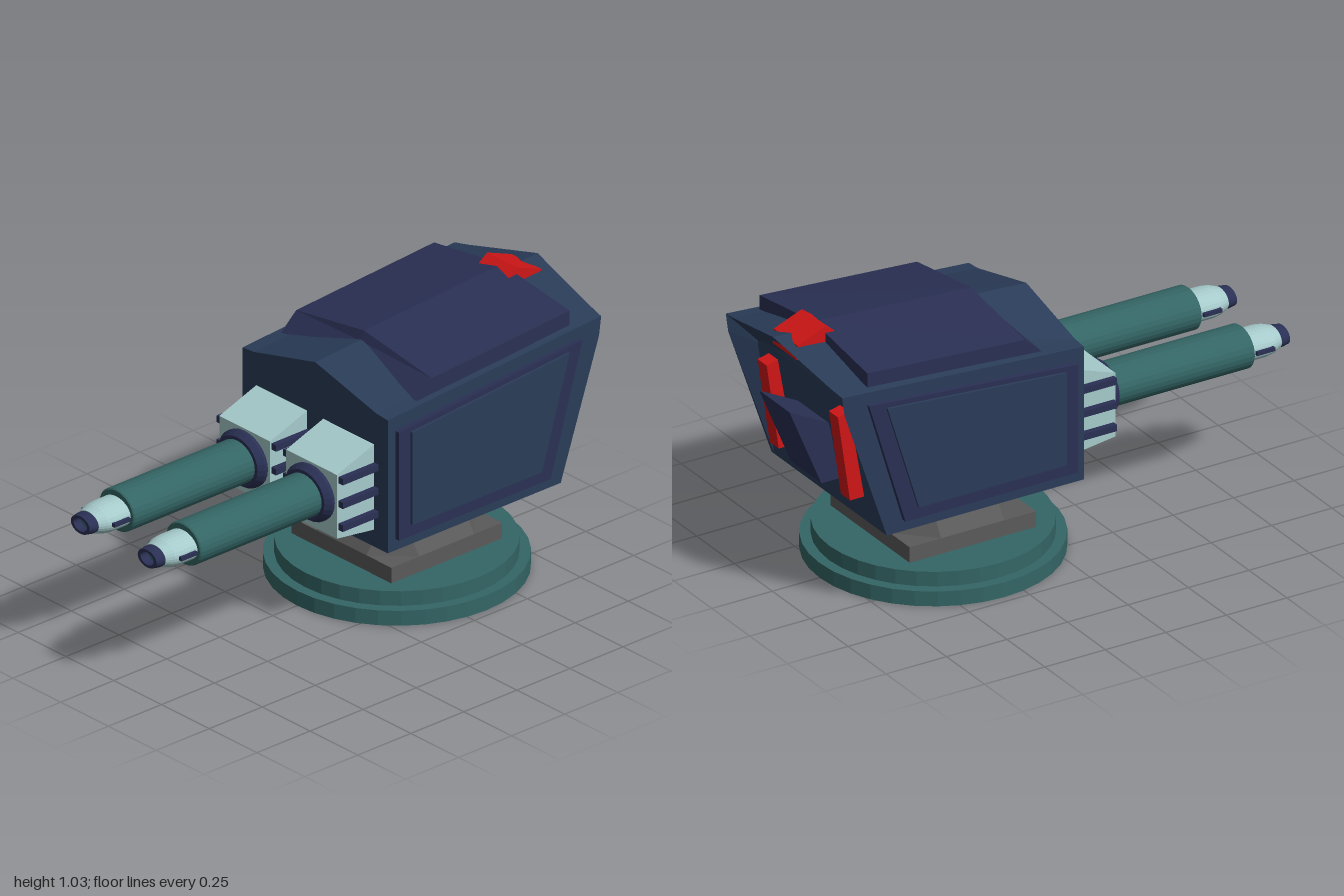
import * as THREE from 'three';

const mat = (color) => new THREE.MeshStandardMaterial({ color, flatShading: true });
const navy = mat(0x2a3c58), dark = mat(0x2a3054), teal = mat(0x346565);
const pale = mat(0xa6cacb), grey = mat(0x5a5a5a), red = mat(0xd01616);

function add(parent, name, geometry, material, x = 0, y = 0, z = 0) {
  const mesh = new THREE.Mesh(geometry, material);
  mesh.name = name;
  mesh.position.set(x, y, z);
  parent.add(mesh);
  return mesh;
}

// Completes a right-hand half outline (bottom to top) into a symmetric ring
function mirrorRing(half) {
  const left = half.filter((p) => p[0] !== 0).map(([x, y, z]) => [-x, y, z]).reverse();
  return [...half, ...left];
}

// Skins symmetric rings listed from +z to -z and caps both ends
function loft(halves) {
  const rings = halves.map(mirrorRing), n = rings[0].length, index = [];
  for (let r = 0; r < rings.length - 1; r++) {
    for (let i = 0; i < n; i++) {
      const a = r * n + i, b = r * n + (i + 1) % n;
      index.push(a, a + n, b, b, a + n, b + n);
    }
  }
  const cap = (ring) => THREE.ShapeUtils.triangulateShape(ring.map((p) => new THREE.Vector2(p[0], p[1])), []);
  const last = (rings.length - 1) * n;
  cap(rings[0]).forEach(([a, b, c]) => index.push(a, b, c));
  cap(rings[rings.length - 1]).forEach(([a, b, c]) => index.push(last + a, last + c, last + b));
  const geo = new THREE.BufferGeometry();
  geo.setAttribute('position', new THREE.Float32BufferAttribute(rings.flat(2), 3));
  geo.setIndex(index);
  const flat = geo.toNonIndexed();
  flat.computeVertexNormals();
  return flat;
}

// Extrudes a side profile of [z, y] points across x, centred on x = 0
function sidePrism(points, width) {
  const shape = new THREE.Shape(points.map(([z, y]) => new THREE.Vector2(z, y)));
  return new THREE.ExtrudeGeometry(shape, { depth: width, bevelEnabled: false })
    .rotateY(-Math.PI / 2).translate(width / 2, 0, 0);
}

// Turned part along z from [radius, z] points, widened in x
function turned(points, widen) {
  return new THREE.LatheGeometry(points.map(([r, z]) => new THREE.Vector2(r, z)), 28)
    .rotateX(Math.PI / 2).scale(widen, 1, 1);
}

function createGun(side) {
  const gun = new THREE.Group();
  gun.name = side > 0 ? 'leftGun' : 'rightGun';
  gun.position.set(side * 0.175, 0.545, 0);

  // Tapered mount with three ribs
  const block = (lo, hi, z) => [[0.133, lo, z], [0.133, hi, z]];
  add(gun, 'gunMount', loft([block(-0.135, 0.115, 0.225), block(-0.16, 0.18, 0.04)]), pale);
  for (const y of [-0.09, 0, 0.093]) {
    add(gun, 'mountRib', new THREE.BoxGeometry(0.312, 0.025, 0.17), dark, 0, y, 0.133);
  }

  // Collar, barrel and hollow muzzle
  add(gun, 'collar', turned([[0, 0.215], [0.107, 0.215], [0.107, 0.238], [0.093, 0.26], [0, 0.26]], 1.14), dark);
  add(gun, 'barrel', turned([[0, 0.25], [0.08, 0.25], [0.08, 0.825], [0.076, 0.83], [0, 0.83]], 1.15), teal);
  add(gun, 'muzzle', turned([[0.055, 0.82], [0.055, 0.9], [0.051, 0.93], [0.04, 0.962], [0.028, 0.962]], 1.38), pale);
  add(gun, 'muzzleTip', turned([[0.038, 0.955], [0.038, 0.975], [0.034, 1], [0.024, 1], [0.024, 0.955]], 1.45), dark);
  add(gun, 'bore', turned([[0.025, 0.955], [0.025, 0.965], [0, 0.965]], 1.4), teal);
  add(gun, 'muzzleFin', new THREE.BoxGeometry(0.174, 0.014, 0.075), dark, 0, 0, 0.878);
  return gun;
}

export function createModel() {
  const model = new THREE.Group();
  model.name = 'turret';
  const cz = -0.335;

  // Round base
  add(model, 'baseDisc', new THREE.CylinderGeometry(0.47, 0.47, 0.058, 36), teal, 0, 0.029, cz);
  add(model, 'baseStep', new THREE.CylinderGeometry(0.43, 0.43, 0.058, 36), teal, 0, 0.086, cz);

  // Pedestal: square plinth and tapering neck with cut corners
  add(model, 'plinth', new THREE.BoxGeometry(0.522, 0.062, 0.522), grey, 0, 0.145, cz);
  const octagon = (r, h) => [[0.13, -r, h], [r, -0.13, h], [r, 0.13, h], [0.13, r, h]];
  add(model, 'neck', loft([octagon(0.158, 0.33), octagon(0.261, 0.175)]).rotateX(-Math.PI / 2), grey, 0, 0, cz);

  // Housing: front outline, overhanging rear outline, recessed rear face
  add(model, 'housing', loft([
    [[0.38, 0.32, 0.05], [0.38, 0.75, 0.05], [0.38, 0.842, 0.05], [0.32, 0.847, 0.05], [0, 0.928, 0.05]],
    [[0.38, 0.32, -0.765], [0.384, 0.84, -0.942], [0.384, 0.913, -0.952], [0.32, 0.925, -0.96], [0, 1.0, -0.998]],
    [[0.36, 0.322, -0.767], [0.335, 0.79, -0.85], [0.335, 0.8, -0.85], [0.29, 0.815, -0.855], [0, 0.86, -0.86]],
  ]), navy);

  // Raised roof plate
  const plate = (low, lowMid, high, highMid) =>
    [[0, ...lowMid], [0.355, ...low], [0.355, ...high], [0, ...highMid]];
  add(model, 'roofPlate', loft([
    plate([0.853, -0.105], [0.938, -0.165], [0.92, -0.18], [0.974, -0.18]),
    plate([0.89, -0.83], [0.97, -0.83], [0.965, -0.83], [1.015, -0.83]),
  ]), dark);
  add(model, 'roofLight', sidePrism([[-0.95, 0.93], [-0.77, 0.93], [-0.775, 0.99], [-0.83, 1.03], [-0.945, 0.985]], 0.156), red);

  // Stepped side panels
  const panels = [
    ['sidePanel', 0.04, dark, [[0.015, 0.365], [0.015, 0.79], [-0.85, 0.86], [-0.7, 0.365]]],
    ['sidePanelInset', 0.06, navy, [[-0.04, 0.412], [-0.04, 0.775], [-0.78, 0.835], [-0.65, 0.412]]],
  ];
  for (const side of [-1, 1]) {
    for (const [name, width, material, outline] of panels) {
      add(model, name, sidePrism(outline, width), material, side * 0.38);
    }
    // Rear light strip
    add(model, 'rearLight', sidePrism([[-0.77, 0.43], [-0.845, 0.43], [-0.895, 0.77], [-0.83, 0.785]], 0.06), red, side * 0.235);
    model.add(createGun(side));
  }

  // Rear vent
  add(model, 'rearVent', sidePrism([[-0.77, 0.43], [-0.86, 0.43], [-0.992, 0.745], [-0.83, 0.66]], 0.2), dark);

  return model;
}
